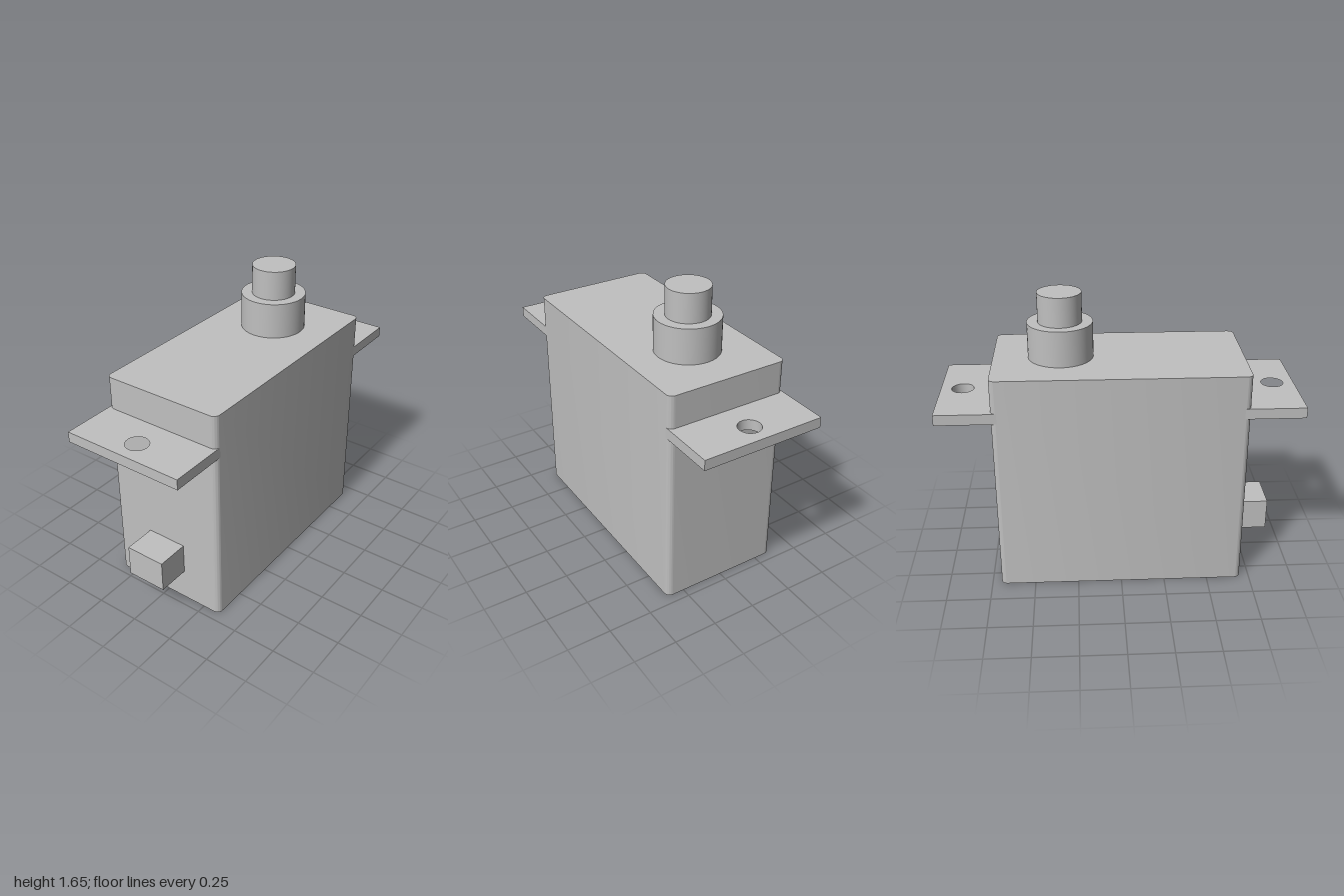
import * as THREE from 'three';
import { toCreasedNormals } from 'three/addons/utils/BufferGeometryUtils.js';

const HALF_DEPTH = 0.355;

// Extrudes an outline drawn in x/z upward from height y
function extrudeUp(shape, y, height) {
  const geometry = new THREE.ExtrudeGeometry(shape, { depth: height, bevelEnabled: false, curveSegments: 12 });
  geometry.rotateX(-Math.PI / 2).translate(0, y, 0);
  return toCreasedNormals(geometry, Math.PI / 6);
}

// Rectangle with rounded corners, centred on the origin
function roundedRect(w, d, r) {
  const shape = new THREE.Shape();
  shape.absarc(w - r, d - r, r, 0, Math.PI / 2);
  shape.absarc(-w + r, d - r, r, Math.PI / 2, Math.PI);
  shape.absarc(-w + r, -d + r, r, Math.PI, Math.PI * 1.5);
  shape.absarc(w - r, -d + r, r, Math.PI * 1.5, Math.PI * 2);
  shape.closePath();
  return shape;
}

// Flat mounting ear with a screw hole, pointing along side * x
function earShape(side) {
  const inner = side * 0.665, outer = side;
  const shape = new THREE.Shape([
    new THREE.Vector2(inner, -HALF_DEPTH),
    new THREE.Vector2(outer, -HALF_DEPTH),
    new THREE.Vector2(outer, HALF_DEPTH),
    new THREE.Vector2(inner, HALF_DEPTH),
  ]);
  const hole = new THREE.Path();
  hole.absarc(side * 0.877, 0, 0.063, 0, Math.PI * 2, true);
  shape.holes.push(hole);
  return shape;
}

export function createModel() {
  const model = new THREE.Group();
  model.name = 'servoMotor';
  const grey = new THREE.MeshStandardMaterial({ color: 0xc0c0c0 });
  grey.name = 'grey plastic';

  function add(name, geometry, x = 0, y = 0, z = 0) {
    const mesh = new THREE.Mesh(geometry, grey);
    mesh.name = name;
    mesh.position.set(x, y, z);
    model.add(mesh);
  }

  // Case with rounded upright edges
  add('case', extrudeUp(roundedRect(0.698, HALF_DEPTH, 0.035), 0, 1.277));

  // Mounting ears on both ends
  add('leftMountingEar', extrudeUp(earShape(1), 1.03, 0.06));
  add('rightMountingEar', extrudeUp(earShape(-1), 1.03, 0.06));

  // Output boss and shaft
  add('outputBoss', new THREE.CylinderGeometry(0.182, 0.182, 0.205, 48), 0.322, 1.3775);
  add('outputShaft', new THREE.CylinderGeometry(0.122, 0.122, 0.167, 48), 0.322, 1.5625);

  // Cable outlet low on one end
  add('cableOutlet', new THREE.BoxGeometry(0.2, 0.182, 0.235), -0.782, 0.279);

  return model;
}
